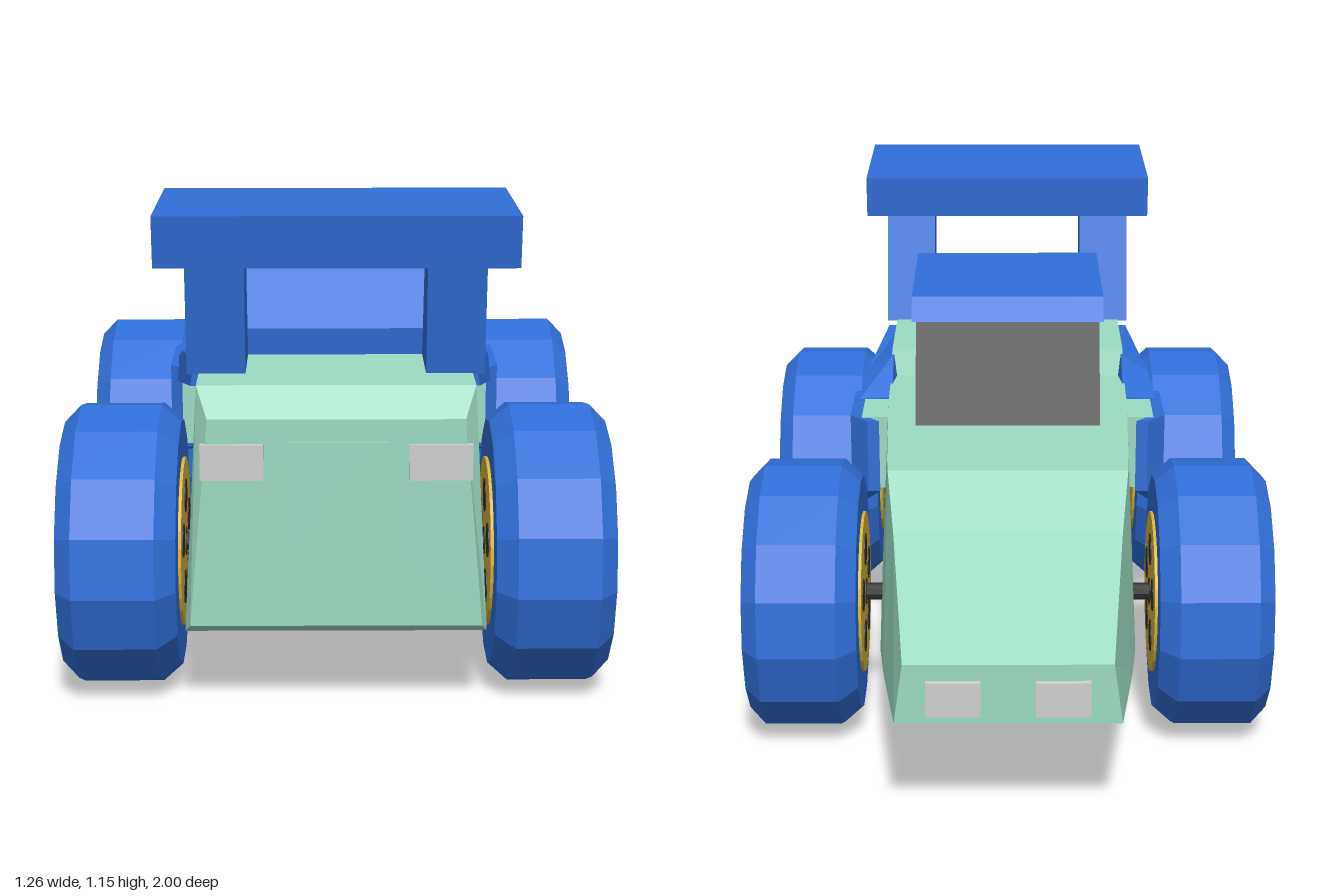
import * as THREE from 'three';

const mat = (name, color) => {
  const m = new THREE.MeshStandardMaterial({ color, flatShading: true });
  m.name = name;
  return m;
};

// Join cross-sections (counter-clockwise, running from -z to +z); side -1 mirrors in x
function loft(sections, side = 1) {
  const s = sections.map(sec => sec.map(([x, y, z]) => [x * side, y, z]));
  if (side < 0) s.reverse();
  const pos = [];
  const tri = (a, b, c) => pos.push(...a, ...b, ...c);
  const n = s[0].length;
  for (let k = 0; k + 1 < s.length; k++) {
    for (let i = 0; i < n; i++) {
      const j = (i + 1) % n;
      tri(s[k][i], s[k][j], s[k + 1][j]);
      tri(s[k][i], s[k + 1][j], s[k + 1][i]);
    }
  }
  const first = s[0], last = s[s.length - 1];
  for (let i = 1; i + 1 < n; i++) {
    tri(first[0], first[i + 1], first[i]);
    tri(last[0], last[i], last[i + 1]);
  }
  const g = new THREE.BufferGeometry();
  g.setAttribute('position', new THREE.Float32BufferAttribute(pos, 3));
  g.computeVertexNormals();
  return g;
}

// Extrude a (z, y) outline across x
function sideProfile(points, x0, x1) {
  const shape = new THREE.Shape(points.map(([z, y]) => new THREE.Vector2(z, y)));
  const g = new THREE.ExtrudeGeometry(shape, { depth: x1 - x0, bevelEnabled: false });
  g.rotateY(-Math.PI / 2);
  g.translate(x1, 0, 0);
  return g;
}

export function createModel() {
  const green = mat('mint paint', 0x9cdcc2);
  const blue = mat('blue paint', 0x306fd8);
  const dark = mat('dark glass', 0x303030);
  const gold = mat('gold rim', 0xd9b53a);
  const grey = mat('light grey', 0xd0d0d0);

  const car = new THREE.Group();
  car.name = 'car';
  const add = (name, geo, material, parent = car) => {
    const m = new THREE.Mesh(geo, material);
    m.name = name;
    parent.add(m);
    return m;
  };
  const box = (name, w, h, d, x, y, z, material) => {
    const m = add(name, new THREE.BoxGeometry(w, h, d), material);
    m.position.set(x, y, z);
    return m;
  };

  // Body: z, bottom y, top y, bottom half width, top half width
  const body = [
    [-0.985, 0.28, 0.42, 0.25, 0.23],
    [-0.64, 0.231, 0.59, 0.29, 0.262],
    [-0.5, 0.211, 0.69, 0.303, 0.28],
    [-0.42, 0.198, 0.69, 0.31, 0.285],
    [0, 0.196, 0.69, 0.328, 0.303],
    [0.24, 0.195, 0.69, 0.333, 0.307],
    [0.26, 0.195, 0.757, 0.333, 0.304],
    [0.84, 0.195, 0.757, 0.335, 0.304],
    [0.878, 0.22, 0.69, 0.322, 0.28],
  ];
  add('body', loft(body.map(([z, yb, yt, wb, wt]) =>
    [[wb, yb, z], [wt, yt, z], [-wt, yt, z], [-wb, yb, z]])), green);
  box('panel', 0.226, 0.27, 0.008, 0, 0.505, 0.88, green);

  // Cabin glass and the roof shell over it
  add('windows', sideProfile([[0.48, 0.74], [0.38, 0.925], [-0.04, 0.925], [-0.175, 0.688], [0.2, 0.68]],
    -0.228, 0.228), dark);
  add('roof', sideProfile([[0.41, 0.98], [-0.03, 0.98], [-0.07, 0.925], [0.38, 0.925],
    [0.475, 0.75], [0.54, 0.75], [0.55, 0.82]], -0.238, 0.238), blue);

  // Wing
  add('wing', sideProfile([[1, 1.153], [0.57, 1.147], [0.58, 1.04], [0.98, 1.04]], -0.383, 0.383), blue);

  for (const side of [1, -1]) {
    // Wing strut
    const [x0, x1] = side > 0 ? [0.2, 0.33] : [-0.33, -0.2];
    add('wingStrut', sideProfile([[0.78, 1.045], [0.64, 1.045], [0.54, 0.755], [0.73, 0.755]], x0, x1), blue);

    // Side pod: core, curved outer skin and ramp running up to the deck
    box('podCore', 0.08, 0.19, 0.275, side * 0.33, 0.565, 0.12, green);
    const skin = [[-0.045, 0.355, 0.47, 0.658], [0.005, 0.4, 0.425, 0.658],
      [0.21, 0.4, 0.44, 0.655], [0.25, 0.345, 0.46, 0.65]];
    add('podSkin', loft(skin.map(([z, x, yb, yt]) =>
      [[x, yb, z], [x, yt, z], [x - 0.03, yt, z], [x - 0.03, yb, z]]), side), blue);
    add('podRamp', loft([
      [[0.395, 0.6, 0.13], [0.385, 0.66, 0.13], [0.3, 0.665, 0.13], [0.29, 0.6, 0.13]],
      [[0.382, 0.625, 0.25], [0.37, 0.7, 0.25], [0.3, 0.745, 0.25], [0.28, 0.625, 0.25]],
      [[0.335, 0.68, 0.53], [0.325, 0.745, 0.53], [0.29, 0.745, 0.53], [0.28, 0.68, 0.53]],
    ], side), blue);

    // Lights at both ends
    box('wingEndLight', 0.138, 0.08, 0.016, side * 0.227, 0.595, 0.88, grey);
    box('noseLight', 0.12, 0.08, 0.03, side * 0.12, 0.342, -0.985, grey);
  }

  // Wheels
  const R = 0.325;
  const tyreProfile = [[0, -0.133], [0.285, -0.133], [R, -0.088], [R, 0.095], [0.285, 0.133], [0, 0.133]]
    .map(([r, h]) => new THREE.Vector2(r, h));
  const tyreGeo = new THREE.LatheGeometry(tyreProfile, 15);
  const rimGeo = new THREE.CylinderGeometry(0.195, 0.195, 0.28, 30);
  const holeGeo = new THREE.CylinderGeometry(0.039, 0.039, 0.284, 16);
  const hubGeo = new THREE.CylinderGeometry(0.033, 0.033, 0.284, 16);
  const axleGeo = new THREE.CylinderGeometry(0.021, 0.021, 0.8, 10);
  for (const z of [-0.355, 0.59]) {
    const axle = add('axle', axleGeo, dark);
    axle.rotation.z = Math.PI / 2;
    axle.position.set(0, R, z);
    for (const side of [1, -1]) {
      const wheel = new THREE.Group();
      wheel.name = 'wheel';
      // Local y points outward, local x up or down
      wheel.rotation.z = -side * Math.PI / 2;
      wheel.position.set(side * 0.486, R, z);
      car.add(wheel);
      const up = -side;
      const tyre = add('tyre', tyreGeo, blue, wheel);
      tyre.rotation.y = up * Math.PI / 2;
      add('rim', rimGeo, gold, wheel);
      add('hubCentre', hubGeo, dark, wheel);
      for (let i = 0; i < 5; i++) {
        const a = i * Math.PI * 2 / 5;
        const hole = add('rimHole', holeGeo, dark, wheel);
        hole.position.set(up * Math.cos(a) * 0.11, 0, Math.sin(a) * 0.11);
      }
    }
  }
  return car;
}
